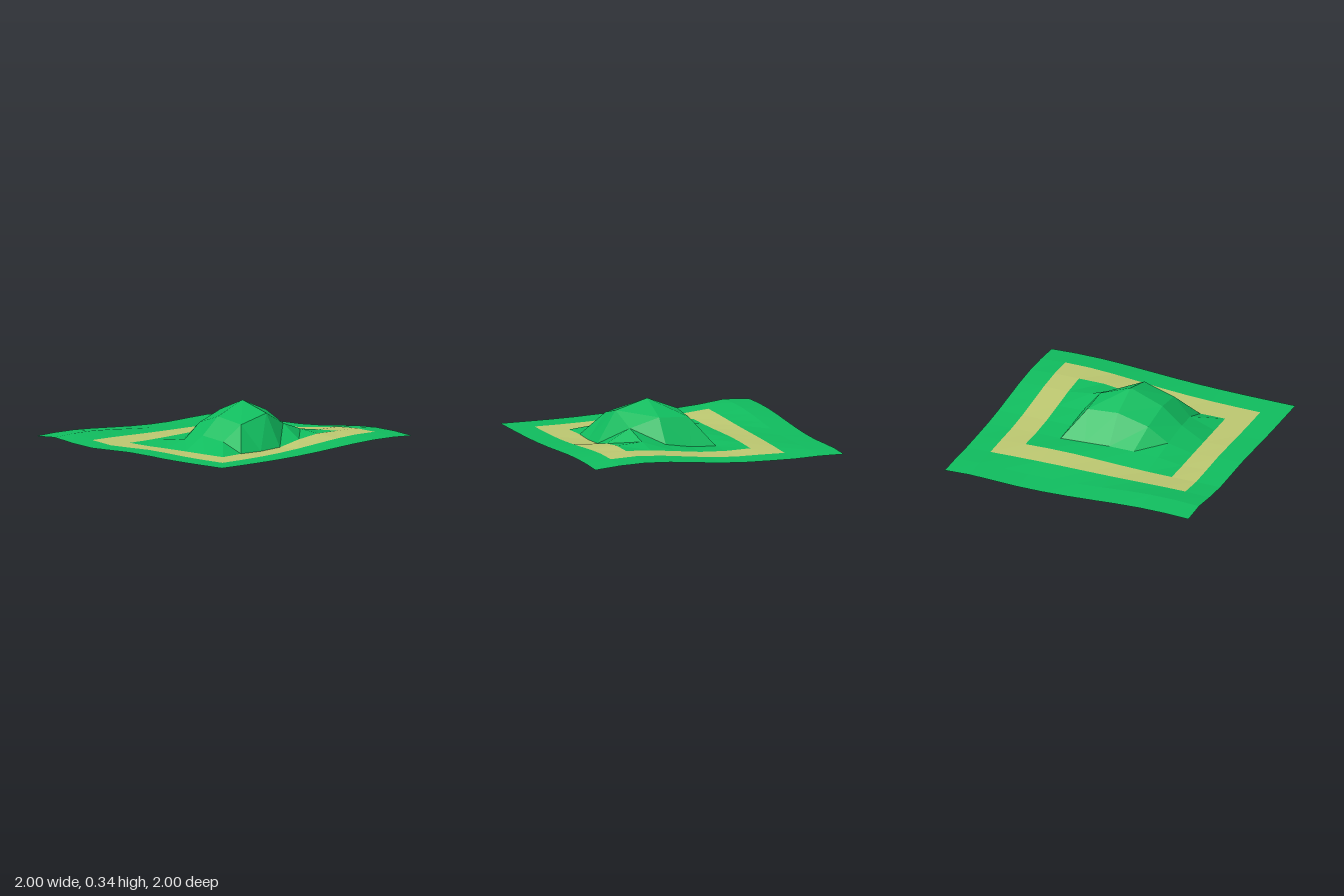
import * as THREE from 'three';

const N = 10, STEP = 0.2;

// Hill vertices as [x, y, z], five per row, rows from back to front
const HILL = [
  [[-0.4, 0.035, -0.2], [-0.2, 0.04, -0.2], [0, 0.04, -0.2], [0.2, 0.03, -0.2], [0.4, 0.02, -0.2]],
  [[-0.4, 0.06, -0.01], [-0.24, 0.17, -0.02], [0, 0.245, -0.04], [0.25, 0.225, -0.04], [0.4, 0.03, 0]],
  [[-0.42, 0.11, 0.2], [-0.26, 0.24, 0.2], [0, 0.34, 0.2], [0.25, 0.24, 0.2], [0.39, 0.06, 0.2]],
  [[-0.4, 0.08, 0.4], [-0.25, 0.2, 0.44], [0, 0.265, 0.455], [0.21, 0.165, 0.42], [0.41, 0.1, 0.4]],
  [[-0.4, 0.01, 0.59], [-0.2, 0.01, 0.6], [0, 0.02, 0.6], [0.2, 0.06, 0.6], [0.4, 0.085, 0.6]],
];

// Gentle swells of the land: [x, z, height, spread in x, spread in z]
const SWELLS = [
  [0.7, 0.62, 0.083, 0.5, 0.35],
  [-0.7, -0.85, 0.062, 0.4, 0.08],
  [0.3, -0.45, 0.028, 0.3, 0.06],
  [-0.9, 0.0, 0.02, 0.06, 0.12],
  [0.8, -0.9, 0.025, 0.1, 0.05],
];

function landHeight(x, z) {
  return SWELLS.reduce((y, [cx, cz, h, sx, sz]) =>
    y + h * Math.exp(-((x - cx) ** 2) / sx - ((z - cz) ** 2) / sz), 0.003);
}

// Grid vertex by column and row; the hill replaces the land where it stands
function vertex(i, j) {
  const hillRow = HILL[j - 4];
  if (hillRow && hillRow[i - 3]) return hillRow[i - 3];
  const x = -1 + i * STEP, z = -1 + j * STEP;
  return [x, landHeight(x, z), z];
}

// Which part a grid cell belongs to
function partOf(i, j) {
  if (i >= 3 && i <= 6 && j >= 4 && j <= 7) return 'hill';
  const inOuter = i >= 1 && i <= 8 && j >= 2 && j <= 8;
  const inInner = i >= 2 && i <= 7 && j >= 3 && j <= 7;
  return inOuter && !inInner ? 'path' : 'grassland';
}

export function createModel() {
  const options = { side: THREE.DoubleSide, flatShading: true };
  const grass = new THREE.MeshStandardMaterial({ color: 0x10bc5e, ...options });
  grass.name = 'grass green';
  const sand = new THREE.MeshStandardMaterial({ color: 0xbcc770, ...options });
  sand.name = 'sandy path';

  // Two triangles for each cell, gathered by part
  const points = { grassland: [], path: [], hill: [] };
  for (let j = 0; j < N; j++) {
    for (let i = 0; i < N; i++) {
      const a = vertex(i, j), b = vertex(i, j + 1);
      const c = vertex(i + 1, j + 1), d = vertex(i + 1, j);
      points[partOf(i, j)].push(...a, ...b, ...d, ...b, ...c, ...d);
    }
  }

  const group = new THREE.Group();
  group.name = 'terrain';
  for (const [name, list] of Object.entries(points)) {
    const geometry = new THREE.BufferGeometry();
    geometry.setAttribute('position', new THREE.Float32BufferAttribute(list, 3));
    geometry.computeVertexNormals();
    const mesh = new THREE.Mesh(geometry, name === 'path' ? sand : grass);
    mesh.name = name;
    group.add(mesh);
  }
  return group;
}
